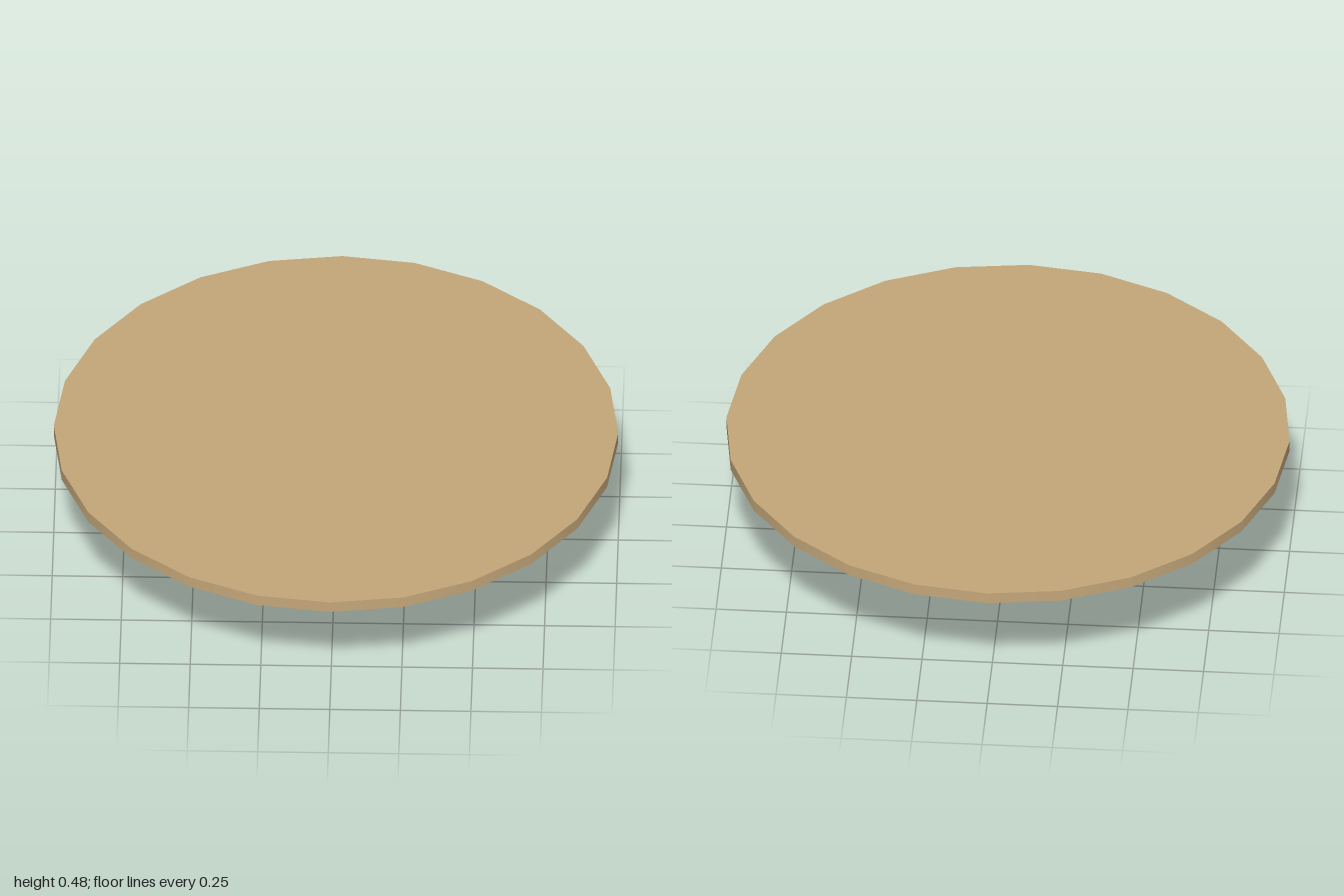
import * as THREE from 'three';

// Upright cylinder spanning y0 to y1
function disc(name, radius, y0, y1, sides, color) {
  const mesh = new THREE.Mesh(
    new THREE.CylinderGeometry(radius, radius, y1 - y0, sides),
    new THREE.MeshStandardMaterial({ color })
  );
  mesh.name = name;
  mesh.position.y = (y0 + y1) / 2;
  return mesh;
}

export function createModel() {
  const table = new THREE.Group();
  table.name = 'roundTable';
  table.add(
    disc('pedestal', 0.125, 0, 0.4375, 8, 0xb0b8c0), // central leg
    disc('tableTop', 1, 0.4375, 0.48, 24, 0xc4a77a) // thin round top
  );
  return table;
}
